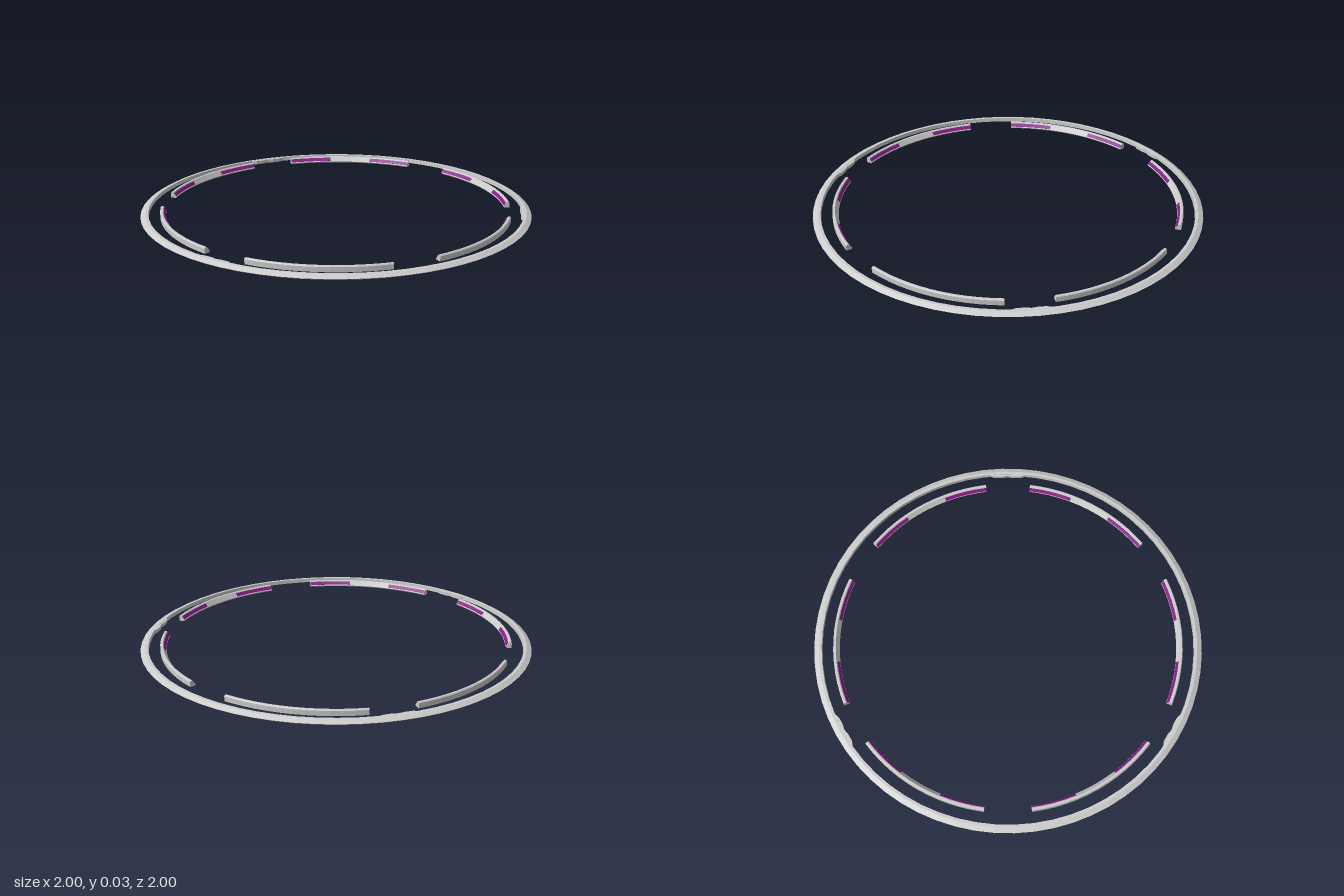
import * as THREE from 'three';

const rad = THREE.MathUtils.degToRad;

// Sweeps a convex [radius, height] profile (counter-clockwise) about the y axis; arcs get end caps.
function sweep(profile, startDeg, endDeg, steps, color = 0xcccccc) {
  const pos = [];
  const at = (p, i) => {
    const a = rad(startDeg + ((endDeg - startDeg) * i) / steps);
    return [p[0] * Math.sin(a), p[1], p[0] * Math.cos(a)];
  };
  const n = profile.length;
  for (let i = 0; i < steps; i++) {
    for (let j = 0; j < n; j++) {
      const p = profile[j], q = profile[(j + 1) % n];
      const a = at(p, i), b = at(p, i + 1), c = at(q, i + 1), d = at(q, i);
      pos.push(...a, ...b, ...c, ...a, ...c, ...d);
    }
  }
  if (endDeg - startDeg < 360) {
    for (let j = 1; j < n - 1; j++) {
      pos.push(...at(profile[0], 0), ...at(profile[j], 0), ...at(profile[j + 1], 0));
      pos.push(...at(profile[0], steps), ...at(profile[j + 1], steps), ...at(profile[j], steps));
    }
  }
  const geo = new THREE.BufferGeometry();
  geo.setAttribute('position', new THREE.Float32BufferAttribute(pos, 3));
  geo.computeVertexNormals();
  return new THREE.Mesh(geo, new THREE.MeshStandardMaterial({
    color, flatShading: true, side: THREE.DoubleSide,
  }));
}

export function createModel() {
  const model = new THREE.Group();

  // Thin outer ring with a bevelled outer edge
  const ring = sweep([[0.958, 0], [0.992, 0], [1, 0.006], [0.975, 0.02], [0.96, 0.02]], 0, 360, 64);
  ring.name = 'outerRing';
  model.add(ring);

  // Three tapered tabs on the inside of the ring, each with a shallow dip in the middle
  const tabShape = new THREE.Shape([
    [-0.13, 0.966], [-0.07, 0.945], [-0.03, 0.945], [0, 0.951], [0.03, 0.945], [0.07, 0.945],
    [0.13, 0.966], [0.06, 0.973], [-0.06, 0.973],
  ].map(([x, y]) => new THREE.Vector2(x, y)));
  const tabGeo = new THREE.ExtrudeGeometry(tabShape, { depth: 0.0185, bevelEnabled: false });
  tabGeo.rotateX(-Math.PI / 2);
  for (let i = 0; i < 3; i++) {
    const tab = new THREE.Mesh(tabGeo, new THREE.MeshStandardMaterial({ color: 0xcccccc, flatShading: true }));
    tab.name = 'ringTab';
    tab.rotation.y = rad(120 * i);
    model.add(tab);
  }

  // Six curved segments, each with two coloured strips on the sloping inner face
  const rail = [[0.872, 0], [0.9, 0], [0.9, 0.025], [0.896, 0.03], [0.886, 0.03], [0.868, 0.006]];
  const strip = [[0.870, 0.010], [0.8815, 0.0253], [0.8805, 0.026], [0.869, 0.0107]];
  for (let i = 0; i < 6; i++) {
    const segment = new THREE.Group();
    segment.name = 'innerSegment';
    const body = sweep(rail, -22.4, 22.4, 12);
    body.name = 'segmentRail';
    segment.add(body);
    for (const [a, b] of [[-22.4, -7.467], [7.467, 22.4]]) {
      const light = sweep(strip, a, b, 4, 0x8a1a8a);
      light.name = 'colouredStrip';
      segment.add(light);
    }
    segment.rotation.y = rad(30 + 60 * i);
    model.add(segment);
  }
  return model;
}
